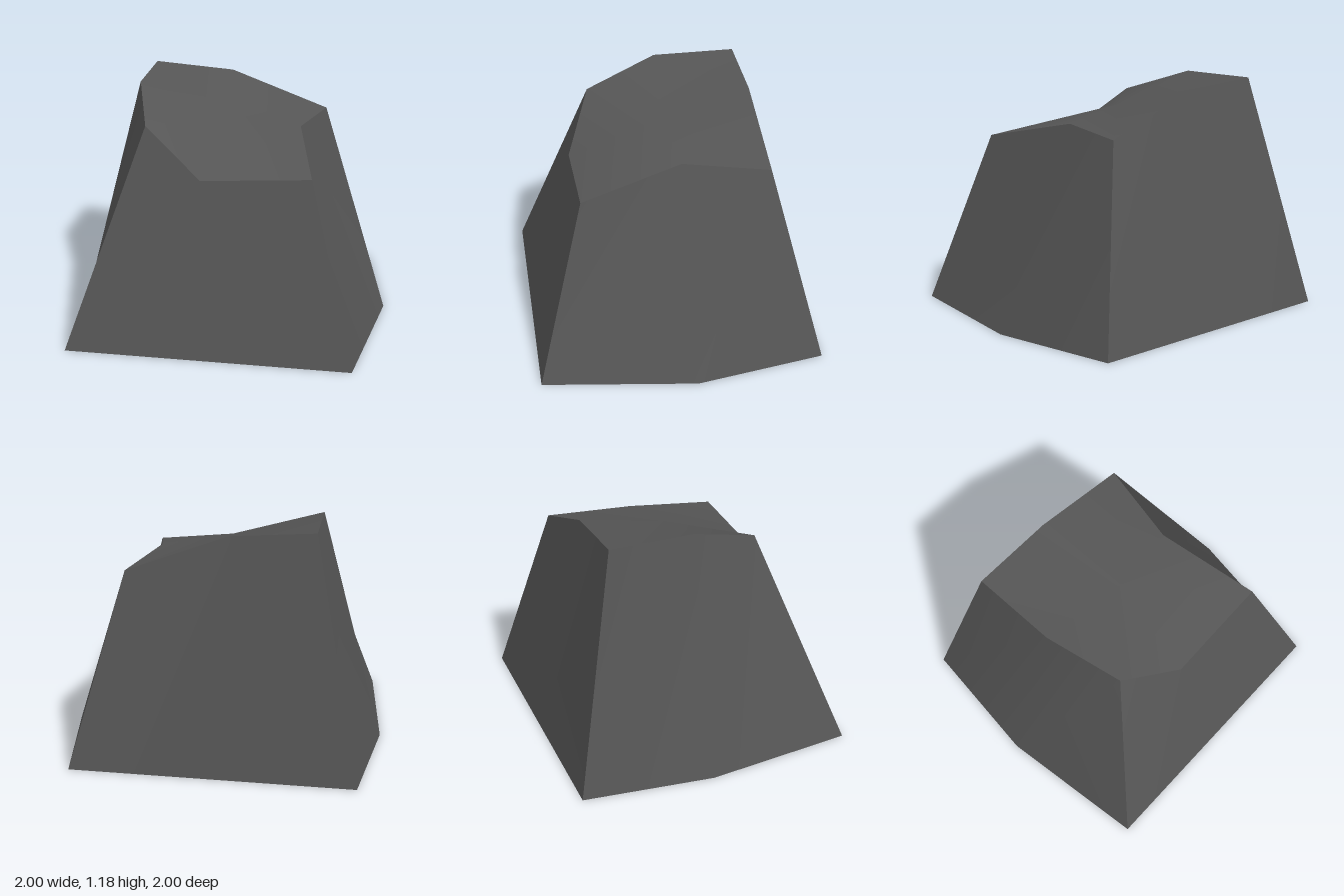
import * as THREE from 'three';
import { toCreasedNormals } from 'three/addons/utils/BufferGeometryUtils.js';

// Matching rings, running left, front, right, back: corners alternate with mid-side points
const base = [
  [-1, 0, 0.02], [-0.49, 0, 0.51], [0.02, 0, 1], [0.63, 0, 0.53],
  [1, 0, -0.02], [0.49, 0, -0.51], [-0.02, 0, -1], [-0.53, 0, -0.58],
];
const rim = [
  [-0.49, 1.06, -0.01], [-0.37, 0.84, 0.29], [0.02, 0.875, 0.66], [0.29, 0.98, 0.22],
  [0.65, 0.96, -0.02], [0.28, 1.15, -0.37], [-0.02, 1.18, -0.66], [-0.31, 1.18, -0.35],
];
const topCentre = [0, 1.04, 0];
const baseCentre = [0, 0, 0];

function facesToMesh(name, triangles, material) {
  const geometry = new THREE.BufferGeometry();
  geometry.setAttribute('position', new THREE.Float32BufferAttribute(triangles.flat(2), 3));
  // Keep the corners sharp and the gentle bends smooth
  const mesh = new THREE.Mesh(toCreasedNormals(geometry, 0.7), material);
  mesh.name = name;
  return mesh;
}

export function createModel() {
  const stone = new THREE.MeshStandardMaterial({ color: 0x555555 });
  stone.name = 'dark grey stone';

  const sides = [], top = [], bottom = [];
  base.forEach((b, i) => {
    const j = (i + 1) % base.length;
    sides.push([b, base[j], rim[j]], [b, rim[j], rim[i]]);
    top.push([topCentre, rim[i], rim[j]]);
    bottom.push([baseCentre, base[j], b]);
  });

  const rock = new THREE.Group();
  rock.name = 'rock';
  rock.add(
    facesToMesh('slopingSides', sides, stone),
    facesToMesh('unevenTop', top, stone),
    facesToMesh('flatBase', bottom, stone),
  );
  return rock;
}
